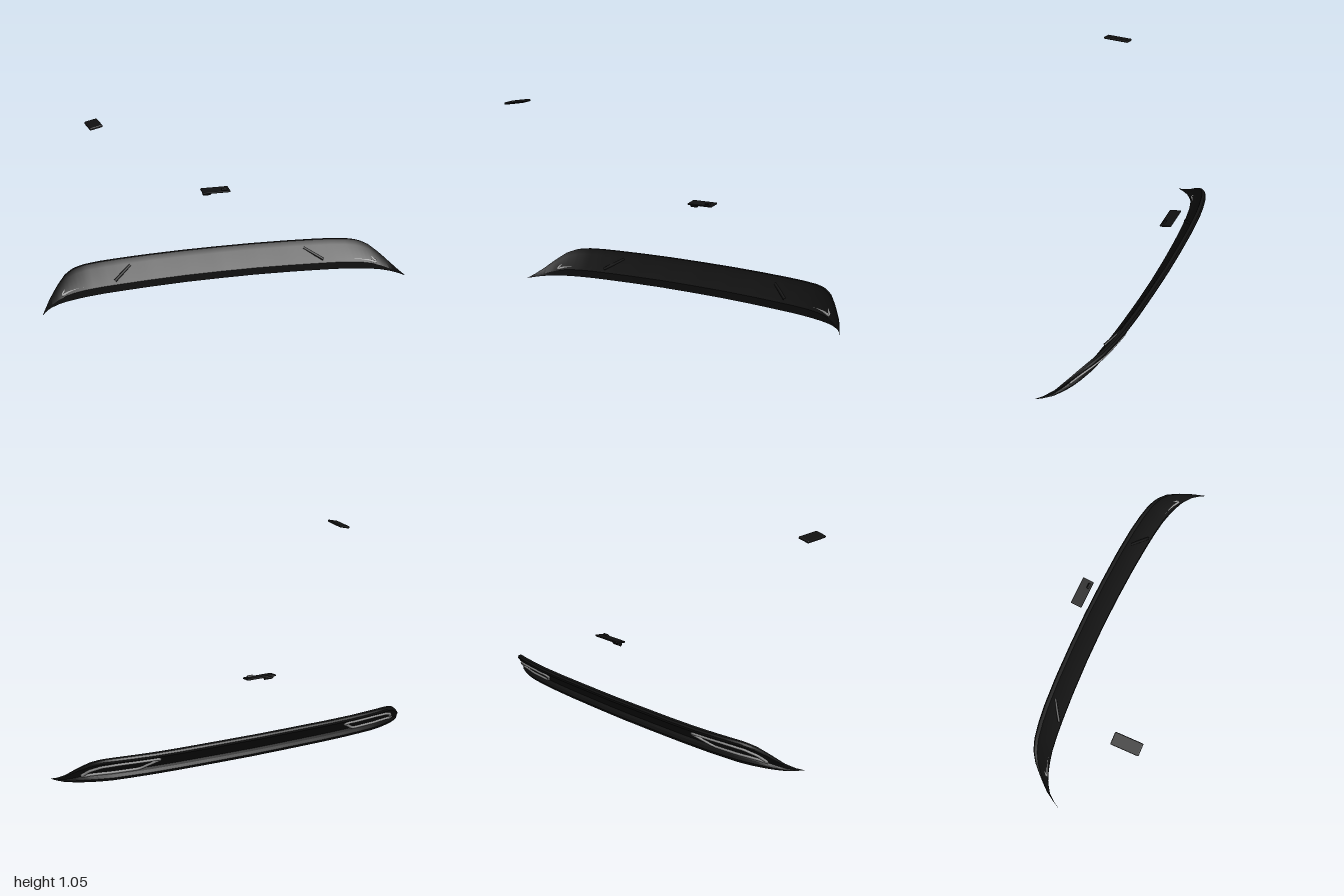
import * as THREE from 'three';
import { toCreasedNormals } from 'three/addons/utils/BufferGeometryUtils.js';
import { RoundedBoxGeometry } from 'three/addons/geometries/RoundedBoxGeometry.js';

const dark = new THREE.MeshStandardMaterial({ color: 0x111111, side: THREE.DoubleSide });
const trim = new THREE.MeshStandardMaterial({ color: 0x999999 });

// stations along half the width: x, top y, top z, bottom y, bottom z
const stations = [
  [0, 0.172, -0.325, 0.02, -0.225],
  [0.2, 0.172, -0.322, 0.02, -0.222],
  [0.4, 0.17, -0.315, 0.018, -0.213],
  [0.55, 0.168, -0.304, 0.016, -0.202],
  [0.65, 0.167, -0.291, 0.015, -0.192],
  [0.74, 0.164, -0.273, 0.013, -0.179],
  [0.8, 0.157, -0.25, 0.012, -0.164],
  [0.85, 0.138, -0.217, 0.011, -0.148],
  [0.9, 0.098, -0.167, 0.009, -0.127],
  [0.95, 0.048, -0.11, 0.005, -0.092],
  [0.98, 0.018, -0.06, 0.002, -0.054],
  [1, 0.001, -0.02, 0, -0.019],
];

function station(x) {
  const a = Math.abs(x);
  let i = 0;
  while (i < stations.length - 2 && stations[i + 1][0] < a) i++;
  const p = stations[i], q = stations[i + 1];
  const t = (a - p[0]) / (q[0] - p[0]);
  return p.map((v, k) => v + (q[k] - v) * t);
}

// carries a point of the centre cross-section to the section at x
function place(x, z, y) {
  const [, yt, zt, yb, zb] = station(x);
  return new THREE.Vector3(
    x,
    yb + ((y - 0.02) / 0.152) * (yt - yb),
    zb + ((z + 0.225) / -0.1) * (zt - zb)
  );
}

// point on the sloping wall: v = 0 at its foot, 1 at its top
const wall = (x, v, shift = 0) =>
  place(x, -0.237 - 0.075 * v + shift, 0.065 + 0.075 * v);

// closed centre section [z, y]: top lip, wall, lower ledge, inside face
const section = [
  [-0.3, 0.172], [-0.318, 0.172], [-0.325, 0.163], [-0.324, 0.152],
  [-0.312, 0.14], [-0.237, 0.065], [-0.25, 0.057], [-0.257, 0.043],
  [-0.24, 0.022], [-0.225, 0.02], [-0.222, 0.06], [-0.29, 0.142],
];

function loftFascia() {
  const xs = [];
  for (let i = -40; i <= 40; i++) xs.push(Math.sin((i / 40) * Math.PI / 2));
  const pos = [], idx = [], n = section.length;
  for (const x of xs) for (const [z, y] of section) pos.push(...place(x, z, y).toArray());
  for (let i = 0; i < xs.length - 1; i++) {
    for (let j = 0; j < n; j++) {
      const a = i * n + j, c = i * n + (j + 1) % n;
      idx.push(a, a + n, c, c, a + n, c + n);
    }
  }
  const g = new THREE.BufferGeometry();
  g.setAttribute('position', new THREE.Float32BufferAttribute(pos, 3));
  g.setIndex(idx);
  return toCreasedNormals(g, 0.5);
}

// tube following [x, v] points on the wall
function wallTube(points, side, shift, radius, closed) {
  const pts = [];
  const count = closed ? points.length : points.length - 1;
  for (let i = 0; i < count; i++) {
    const p = points[i], q = points[(i + 1) % points.length];
    for (let k = 0; k < 5; k++) {
      const t = (k + 0.5) / 5;
      pts.push(wall(side * (p[0] + (q[0] - p[0]) * t), p[1] + (q[1] - p[1]) * t, shift));
    }
  }
  const curve = new THREE.CatmullRomCurve3(pts, closed, 'centripetal');
  return new THREE.TubeGeometry(curve, closed ? 90 : 12, radius, 8, closed);
}

export function createModel() {
  const model = new THREE.Group();
  const add = (name, geo, mat, parent = model) => {
    const m = new THREE.Mesh(geo, mat);
    m.name = name;
    parent.add(m);
    return m;
  };

  add('bumperFascia', loftFascia(), dark);

  // bright vent surrounds and the ribs behind their inner edges
  const outline = [[0.51, 0.96], [0.6, 0.05], [0.75, 0.05], [0.885, 0.1], [0.85, 0.62], [0.8, 0.85], [0.72, 0.95]];
  for (const side of [1, -1]) {
    const label = side > 0 ? 'left' : 'right';
    add(label + 'VentFrame', wallTube(outline, side, -0.001, 0.009, true), trim);
    add(label + 'InnerRib', wallTube([[0.48, 1.0], [0.6, 0.08]], side, 0.017, 0.008, false), dark);
  }

  // separate sloping cover plate
  const cover = add('coverPlate', new RoundedBoxGeometry(0.062, 0.013, 0.14, 2, 0.005), dark);
  cover.position.set(-0.765, 1.041, 0.283);
  cover.rotation.z = 0.23;

  // separate bracket: tilted plate with clips
  const bracket = new THREE.Group();
  bracket.name = 'bracket';
  model.add(bracket);
  const plate = add('bracketPlate', new RoundedBoxGeometry(0.155, 0.009, 0.062, 2, 0.004), dark, bracket);
  plate.position.set(0, 0.49, -0.323);
  plate.rotation.x = 0.2;
  const clip = add('bracketClip', new RoundedBoxGeometry(0.045, 0.018, 0.024, 2, 0.004), dark, bracket);
  clip.position.set(-0.05, 0.479, -0.322);
  clip.rotation.x = 0.6;
  const tab = add('bracketTab', new RoundedBoxGeometry(0.03, 0.012, 0.012, 2, 0.003), dark, bracket);
  tab.position.set(0.045, 0.494, -0.308);
  tab.rotation.x = 0.6;

  return model;
}
